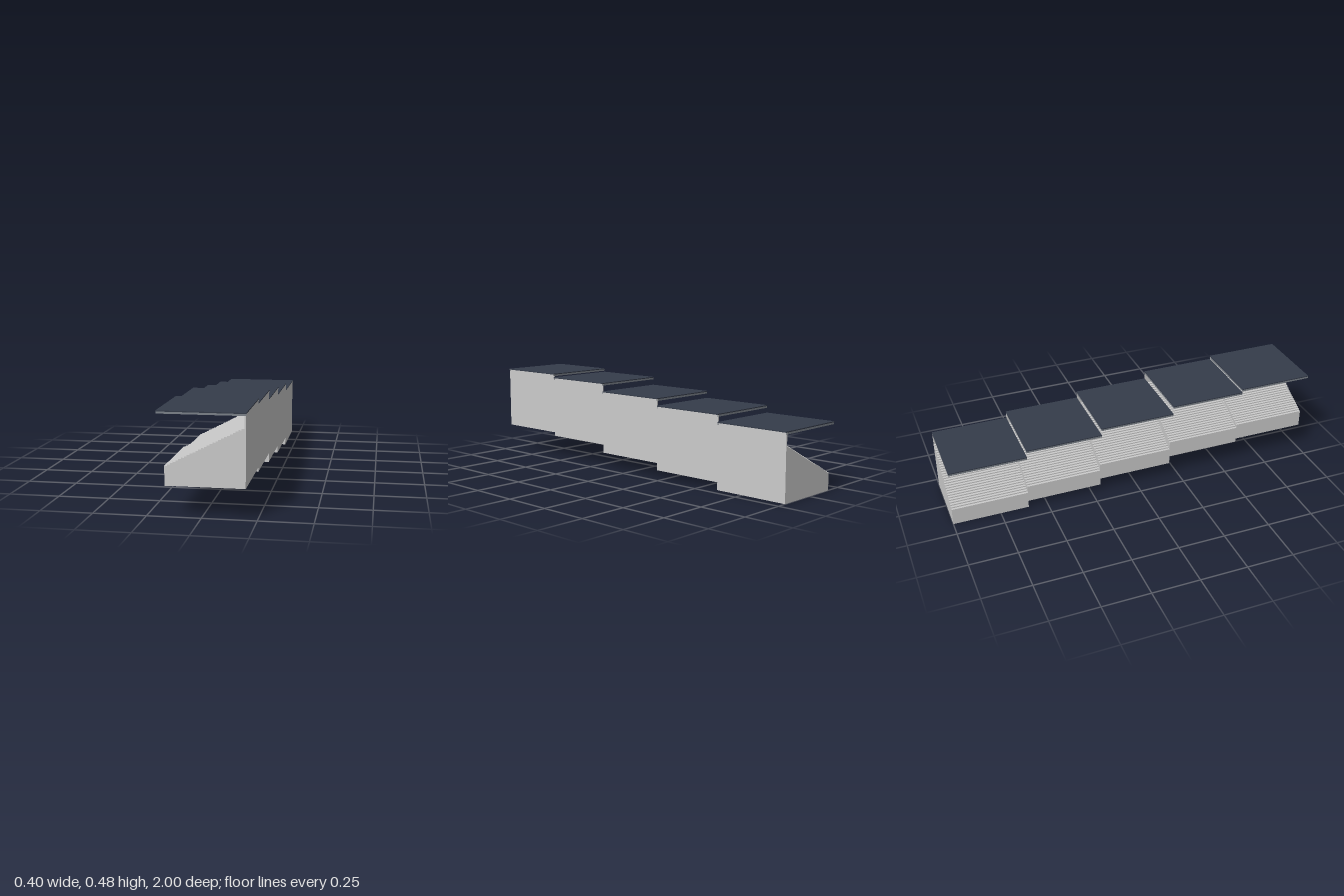
import * as THREE from 'three';

const grey = new THREE.MeshStandardMaterial({ color: 0xcccccc, side: THREE.DoubleSide, flatShading: true });
const navy = new THREE.MeshStandardMaterial({ color: 0x353c4a });
const steel = new THREE.MeshStandardMaterial({ color: 0x7c828a });

const LENGTH = 0.4;                               // one bay, along z
const BASES = [0.142, 0.122, 0.077, 0.039, 0];    // bay floor heights, front to back
const STEPS = 28;
const X0 = -0.165, X1 = 0.193;                    // low side and high side of the seating
const LOW = 0.091, HIGH = 0.268;                  // first and last tread heights
const ROOF_TOP = 0.338, ROOF_HALF = 0.201;

function box(name, material, x0, x1, y0, y1, z0, z1) {
  const mesh = new THREE.Mesh(new THREE.BoxGeometry(x1 - x0, y1 - y0, z1 - z0), material);
  mesh.position.set((x0 + x1) / 2, (y0 + y1) / 2, (z0 + z1) / 2);
  mesh.name = name;
  return mesh;
}

// Stepped outline: up the low wall, then riser and tread in turn
function stepProfile() {
  const points = [[X0, 0]];
  const run = (X1 - X0) / STEPS, rise = (HIGH - LOW) / (STEPS - 1);
  for (let i = 0; i < STEPS; i++) {
    const y = LOW + i * rise;
    points.push([X0 + i * run, y], [X0 + (i + 1) * run, y]);
  }
  return points;
}

// Sweep the outline along z as an open sheet
function sheet(points, half) {
  const pos = [];
  for (let i = 0; i < points.length - 1; i++) {
    const [ax, ay] = points[i], [bx, by] = points[i + 1];
    pos.push(ax, ay, -half, ax, ay, half, bx, by, half);
    pos.push(ax, ay, -half, bx, by, half, bx, by, -half);
  }
  const geometry = new THREE.BufferGeometry();
  geometry.setAttribute('position', new THREE.Float32BufferAttribute(pos, 3));
  geometry.computeVertexNormals();
  return geometry;
}

function createBay() {
  const bay = new THREE.Group();
  const half = LENGTH / 2;
  const profile = stepProfile();

  // Hollow terrace, open underneath
  const terrace = new THREE.Mesh(sheet(profile, half), grey);
  terrace.name = 'seatingSteps';
  bay.add(terrace);

  // Stepped end walls
  const outline = new THREE.Shape([...profile, [X1, 0]].map(([x, y]) => new THREE.Vector2(x, y)));
  for (const side of [-1, 1]) {
    const end = new THREE.Mesh(new THREE.ShapeGeometry(outline), grey);
    end.position.z = side * half;
    if (side < 0) {
      end.geometry.scale(-1, 1, 1);               // mirrored, then turned to face backwards
      end.geometry.index.array.reverse();
      end.rotation.y = Math.PI;
    }
    end.name = 'endWall';
    bay.add(end);
  }

  // Tall outer wall
  bay.add(box('outerWall', grey, X1, 0.199, 0, ROOF_TOP - 0.005, -half, half));

  // Roof sheet with a fascia under its free edges
  const y0 = ROOF_TOP - 0.014, y1 = ROOF_TOP - 0.005, t = 0.003;
  bay.add(box('roof', navy, -ROOF_HALF, ROOF_HALF, y1, ROOF_TOP, -half, half));
  bay.add(box('roofFascia', steel, -ROOF_HALF, -ROOF_HALF + t, y0, y1, -half, half));
  bay.add(box('roofFascia', steel, -ROOF_HALF + t, ROOF_HALF, y0, y1, half - t, half));
  bay.add(box('roofFascia', steel, -ROOF_HALF + t, ROOF_HALF, y0, y1, -half, -half + t));
  return bay;
}

export function createModel() {
  const model = new THREE.Group();
  model.name = 'grandstand';
  BASES.forEach((y, i) => {
    const bay = createBay();
    bay.name = 'standBay' + (i + 1);
    bay.position.set(0, y, 1 - LENGTH * (i + 0.5));
    model.add(bay);
  });
  return model;
}
